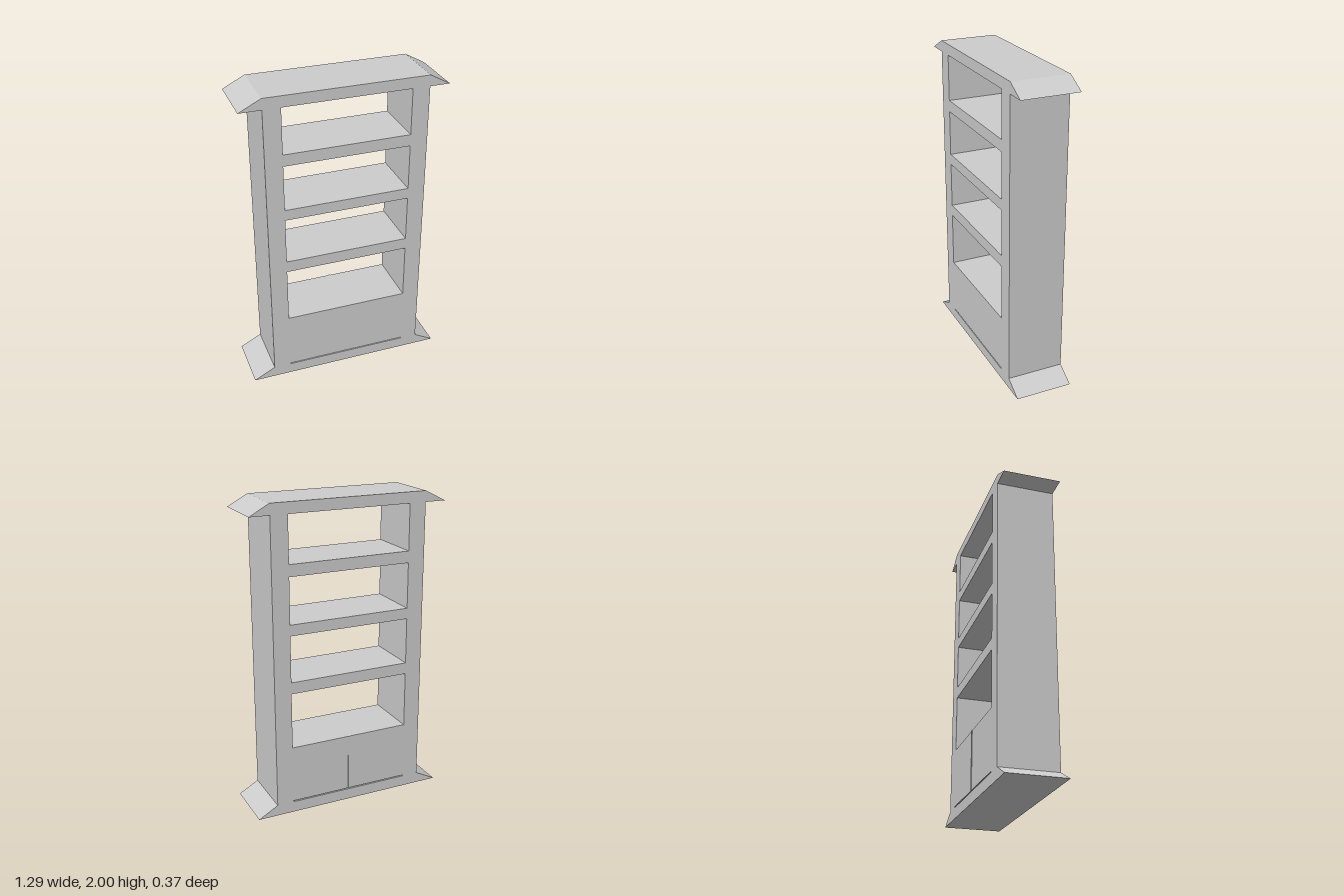
import * as THREE from 'three';

export function createModel() {
  const group = new THREE.Group();
  const material = new THREE.MeshStandardMaterial({ color: 0xcccccc, flatShading: true });
  const depth = 0.37;
  // uprights sit slightly off centre
  const outer = [-0.505, 0.515];
  const inner = [-0.395, 0.405];

  const add = (name, geometry) => {
    const mesh = new THREE.Mesh(geometry, material);
    mesh.name = name;
    group.add(mesh);
    return mesh;
  };

  // box given by its limits in x and y, full depth unless z limits are given
  const slab = (name, [x0, x1], [y0, y1], [z0, z1] = [-depth / 2, depth / 2]) =>
    add(name, new THREE.BoxGeometry(x1 - x0, y1 - y0, z1 - z0))
      .position.set((x0 + x1) / 2, (y0 + y1) / 2, (z0 + z1) / 2);

  // flared board: wide at the bottom, bevelled up to the uprights
  const flaredBoard = (name, y0, y1) => {
    const shape = new THREE.Shape([
      new THREE.Vector2(-0.643, y0),
      new THREE.Vector2(0.643, y0),
      new THREE.Vector2(outer[1], y1),
      new THREE.Vector2(outer[0], y1),
    ]);
    const geometry = new THREE.ExtrudeGeometry(shape, { depth, bevelEnabled: false });
    geometry.translate(0, 0, -depth / 2);
    add(name, geometry);
  };

  flaredBoard('base', 0, 0.072);
  flaredBoard('cornice', 1.93, 2);

  // uprights
  slab('rightSide', [outer[0], inner[0]], [0.072, 1.93]);
  slab('leftSide', [inner[1], outer[1]], [0.072, 1.93]);

  // open shelves
  [[0.82, 0.895], [1.195, 1.265], [1.56, 1.635]].forEach((y, i) => slab(`shelf${i + 1}`, inner, y));

  // closed cupboard, with a narrow gap above the base
  slab('cupboard', inner, [0.079, 0.455]);

  // thin strip where the two cupboard doors meet
  slab('doorSeam', [0.008, 0.016], [0.079, 0.455], [-0.189, -0.185]);

  return group;
}
